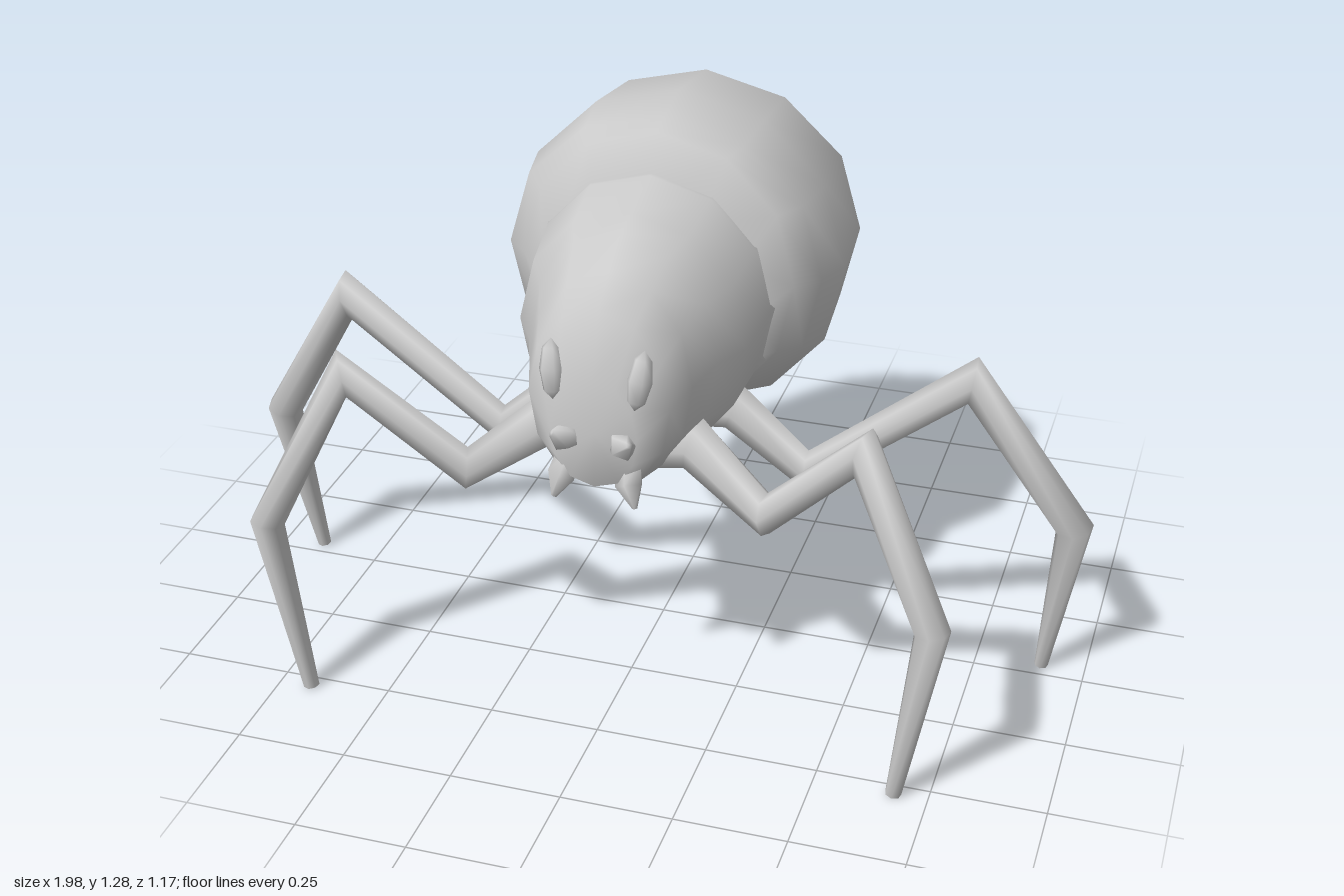
import * as THREE from 'three';

const material = new THREE.MeshStandardMaterial({ color: 0xcccccc });

// Smooth skin over a row of closed rings, capped at both ends
function loft(name, rings) {
  const n = rings[0].length, last = rings.length - 1;
  const points = rings.flat(), index = [];
  for (let i = 0; i < last; i++) {
    for (let j = 0; j < n; j++) {
      const k = (j + 1) % n, a = i * n, b = a + n;
      index.push(a + j, a + k, b + k, a + j, b + k, b + j);
    }
  }
  for (const end of [0, last]) {
    const centre = new THREE.Vector3();
    rings[end].forEach((p) => centre.addScaledVector(p, 1 / n));
    const c = points.push(centre) - 1;
    for (let j = 0; j < n; j++) {
      const a = end * n + j, b = end * n + (j + 1) % n;
      if (end) index.push(c, a, b);
      else index.push(c, b, a);
    }
  }
  const geometry = new THREE.BufferGeometry().setFromPoints(points);
  geometry.setIndex(index);
  geometry.computeVertexNormals();
  const mesh = new THREE.Mesh(geometry, material);
  mesh.name = name;
  return mesh;
}

// Upright body section, slightly fuller in its lower half
function bodyRing([z, top, bottom, halfWidth], sides = 12) {
  const mid = (top + bottom) / 2, half = (top - bottom) / 2;
  return Array.from({ length: sides }, (_, j) => {
    const a = (j / sides) * Math.PI * 2, c = Math.cos(a), s = Math.sin(a);
    const fullness = s < -0.01 ? 0.8 : 1;
    const x = Math.sign(c) * Math.pow(Math.abs(c), fullness) * halfWidth;
    return new THREE.Vector3(x, mid + s * half, z);
  });
}

// Jointed limb: each joint is [x, y, z, radius], with mitred bends
function limb(name, joints, side, sides = 7) {
  const path = joints.map(([x, y, z]) => new THREE.Vector3(x * side, y, z));
  const rings = path.map((p, i) => {
    const before = p.clone().sub(path[Math.max(i - 1, 0)]).normalize();
    const after = path[Math.min(i + 1, path.length - 1)].clone().sub(p).normalize();
    const t = before.clone().add(after).normalize();
    const across = new THREE.Vector3(0, 0, 1);
    across.addScaledVector(t, -across.dot(t)).normalize();
    const up = t.clone().cross(across);
    const inner = i > 0 && i < path.length - 1;
    const mitre = inner ? Math.min(1.4, 1 / t.dot(after)) : 1;
    const r = joints[i][3];
    return Array.from({ length: sides }, (_, j) => {
      const a = (j / sides) * Math.PI * 2;
      return p.clone().addScaledVector(across, Math.cos(a) * r)
        .addScaledVector(up, Math.sin(a) * r * mitre);
    });
  });
  return loft(name, rings);
}

export function createModel() {
  const model = new THREE.Group();
  model.name = 'spider';

  // Body sections: [z, top, bottom, half width]
  model.add(loft('abdomen', [
    [-0.587, 0.87, 0.79, 0.04],
    [-0.57, 0.99, 0.745, 0.15],
    [-0.51, 1.12, 0.68, 0.235],
    [-0.44, 1.185, 0.61, 0.29],
    [-0.33, 1.25, 0.56, 0.37],
    [-0.12, 1.28, 0.53, 0.385],
    [0, 1.26, 0.585, 0.36],
    [0.05, 1.245, 0.6, 0.31],
    [0.12, 1.11, 0.64, 0.24],
  ].map((r) => bodyRing(r))));
  model.add(loft('head', [
    [0, 1.175, 0.6, 0.3],
    [0.1, 1.165, 0.59, 0.27],
    [0.23, 1.135, 0.57, 0.255],
    [0.3, 1.115, 0.575, 0.21],
    [0.38, 1.065, 0.585, 0.18],
    [0.455, 1.01, 0.6, 0.155],
    [0.495, 0.87, 0.62, 0.095],
  ].map((r) => bodyRing(r))));

  const frontLeg = [
    [0.06, 0.64, 0.31, 0.06], [0.17, 0.66, 0.325, 0.055],
    [0.34, 0.535, 0.365, 0.038], [0.57, 0.79, 0.48, 0.04],
    [0.74, 0.435, 0.55, 0.037], [0.675, 0, 0.532, 0.018],
  ];
  const rearLeg = [
    [0.06, 0.63, 0.09, 0.06], [0.19, 0.625, 0.08, 0.05],
    [0.36, 0.49, 0.08, 0.037], [0.72, 0.785, 0.105, 0.04],
    [0.952, 0.405, 0.01, 0.04], [0.9, 0, -0.038, 0.016],
  ];

  for (const side of [1, -1]) {
    const word = side > 0 ? 'left' : 'right';
    model.add(limb(word + 'FrontLeg', frontLeg, side));
    model.add(limb(word + 'RearLeg', rearLeg, side));

    // Almond-shaped main eye
    const eye = new THREE.Mesh(new THREE.SphereGeometry(1, 6, 4), material);
    eye.name = word + 'Eye';
    eye.scale.set(0.028, 0.065, 0.03);
    eye.position.set(side * 0.095, 0.875, 0.475);
    eye.rotation.set(-0.25, 0, side * -0.1);
    model.add(eye);

    // Small eye bump and downward fang
    model.add(limb(word + 'SmallEye', [
      [0.055, 0.725, 0.46, 0.035], [0.067, 0.73, 0.5, 0.03], [0.085, 0.745, 0.515, 0.008],
    ], side, 5));
    model.add(limb(word + 'Fang', [
      [0.065, 0.67, 0.45, 0.03], [0.075, 0.63, 0.485, 0.03], [0.09, 0.582, 0.495, 0.006],
    ], side, 5));
  }
  return model;
}
